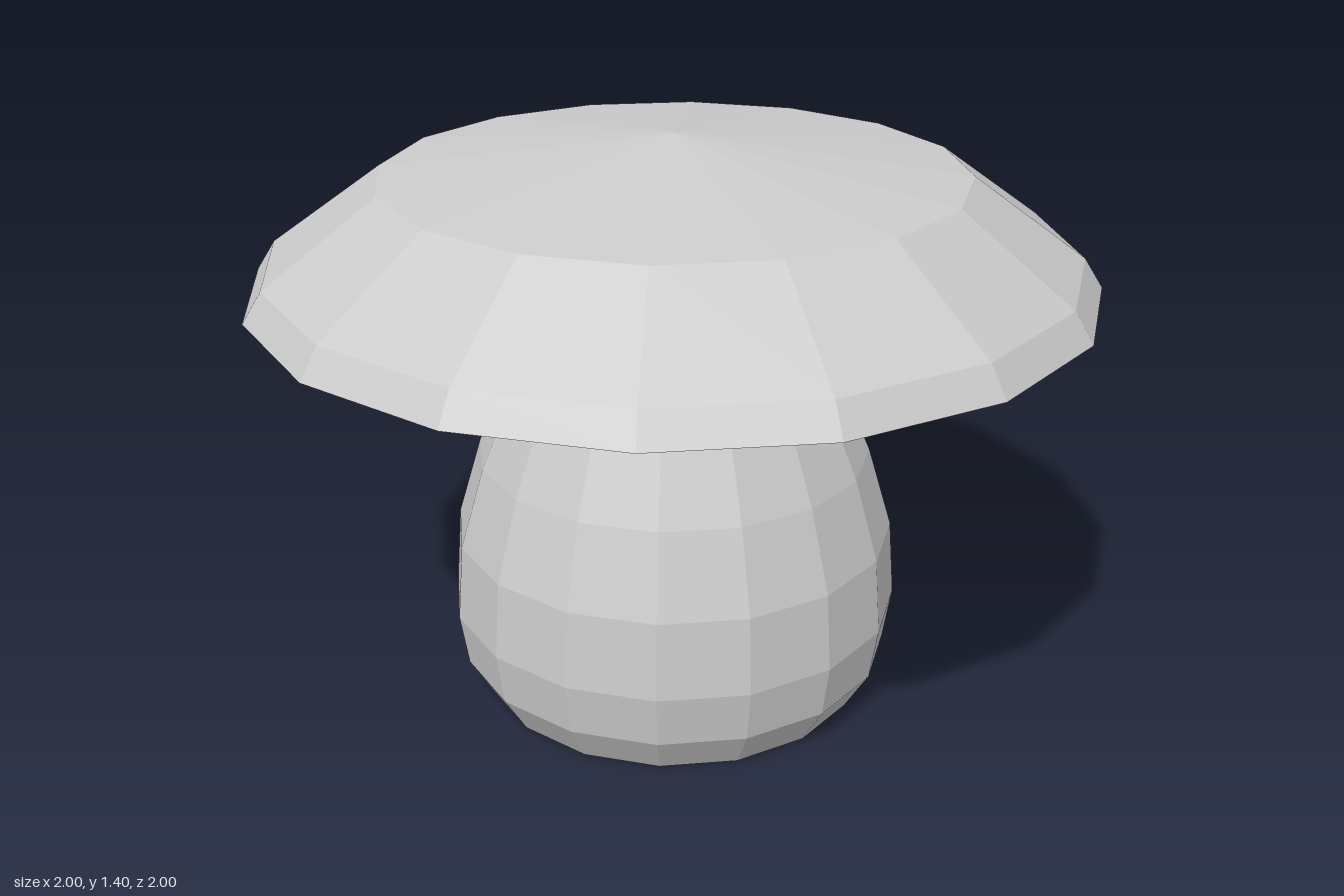
import * as THREE from 'three';

const SIDES = 16;

// Faceted solid of revolution; the profile runs from bottom to top on the outside
function turned(name, profile) {
  const points = profile.map(([r, y]) => new THREE.Vector2(r, y));
  const material = new THREE.MeshStandardMaterial({ color: 0xcccccc, flatShading: true });
  const mesh = new THREE.Mesh(new THREE.LatheGeometry(points, SIDES), material);
  mesh.name = name;
  return mesh;
}

export function createModel() {
  const group = new THREE.Group();
  group.name = 'mushroom';

  // Bulbous stem with a closed base, narrowing up into the cap
  group.add(turned('stem', [
    [0, 0], [0.475, 0], [0.535, 0.1], [0.555, 0.23], [0.54, 0.42],
    [0.48, 0.62], [0.385, 0.84], [0.305, 1.05], [0.28, 1.18],
  ]));

  // Wide cap: hollow underside, sharp rim, shallow pointed top
  group.add(turned('cap', [
    [0, 1.18], [0.28, 1.175], [0.42, 1.16], [0.6, 1.13], [0.83, 1.09],
    [1, 1.05], [0.955, 1.12], [0.69, 1.31], [0, 1.4],
  ]));

  return group;
}
